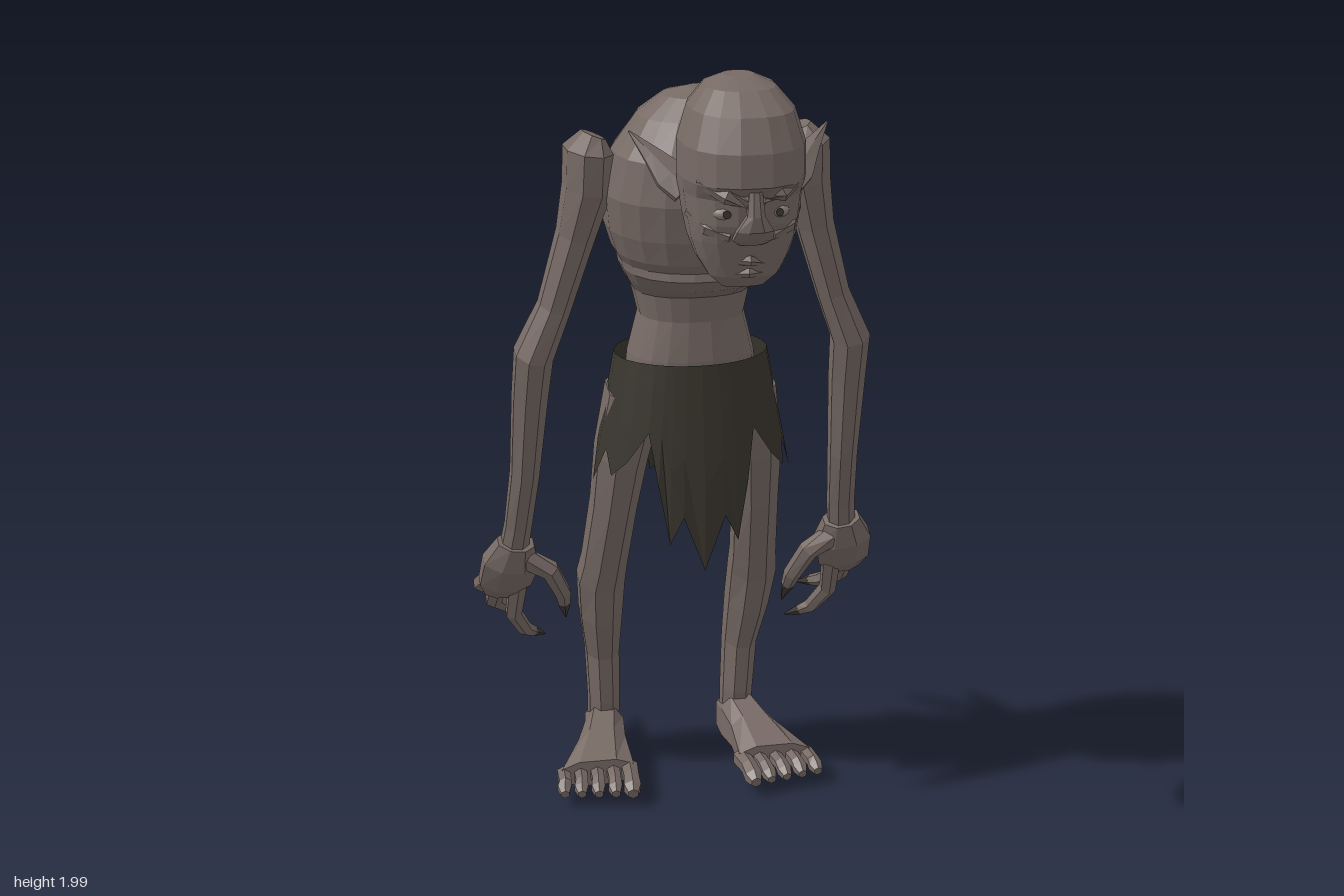
import * as THREE from 'three';

const skin = new THREE.MeshStandardMaterial({ color: 0x776a65 });
skin.name = 'skin';
const cloth = new THREE.MeshStandardMaterial({ color: 0x39352e, side: THREE.DoubleSide });
cloth.name = 'ragged cloth';
const claw = new THREE.MeshStandardMaterial({ color: 0x3f3835 });
claw.name = 'claw';
const eyeMat = new THREE.MeshStandardMaterial({ color: 0x8a8279 });
eyeMat.name = 'eye';

const V = (x, y, z) => new THREE.Vector3(x, y, z);

// Unshared triangles give faceted normals
function facets(triangles) {
  const g = new THREE.BufferGeometry().setFromPoints(triangles);
  g.computeVertexNormals();
  return g;
}

// Closed loft through [x, y, z, radiusA, radiusB]; exp < 1 makes squarer sections
function loft(pts, sides = 8, dir = null, exp = 1) {
  const centres = pts.map(p => V(p[0], p[1], p[2]));
  const bend = v => Math.sign(v) * Math.abs(v) ** exp;
  const rings = pts.map((p, i) => {
    const t = dir ? dir.clone() : centres[Math.min(i + 1, pts.length - 1)].clone()
      .sub(centres[Math.max(i - 1, 0)]).normalize();
    const ref = Math.abs(t.x) > 0.9 ? V(0, 1, 0) : V(1, 0, 0);
    const u = ref.addScaledVector(t, -ref.dot(t)).normalize();
    const v = t.clone().cross(u);
    return Array.from({ length: sides }, (_, j) => {
      const a = (j + 0.5) / sides * Math.PI * 2;
      return centres[i].clone().addScaledVector(u, p[3] * bend(Math.cos(a)))
        .addScaledVector(v, (p[4] ?? p[3]) * bend(Math.sin(a)));
    });
  });
  const tri = [], last = rings.length - 1;
  for (let j = 0; j < sides; j++) {
    const k = (j + 1) % sides;
    for (let i = 0; i < last; i++) {
      const a = rings[i][j], b = rings[i][k], c = rings[i + 1][k], d = rings[i + 1][j];
      tri.push(a, b, c, a, c, d);
    }
    tri.push(centres[0], rings[0][k], rings[0][j]);
    tri.push(centres[last], rings[last][j], rings[last][k]);
  }
  return facets(tri);
}

function add(parent, name, geometry, material = skin) {
  const m = new THREE.Mesh(geometry, material);
  m.name = name;
  parent.add(m);
  return m;
}

// Skirt with a torn hem: [degrees from front, hem height], mirrored
function skirtGeometry() {
  const half = [[0, .70], [12, .84], [20, .77], [27, .92], [36, 1.05], [50, .97], [62, .93], [72, .99],
    [85, .90], [100, 1.0], [115, .92], [128, 1.0], [142, .93], [154, 1.0], [163, .85], [170, .87], [180, .77]];
  const hem = [...half, ...half.slice(1, -1).reverse().map(([d, y]) => [360 - d, y])];
  const rows = [0, 0.25, 0.6, 1];
  const cols = hem.map(([deg, y]) => rows.map(f => {
    const h = 1.22 + (y - 1.22) * f, t = Math.min(1, (1.22 - h) / 0.32);
    const a = deg * Math.PI / 180, flare = Math.cos(a) > 0 ? 0.032 : 0.014;
    return V(Math.sin(a) * (0.19 + 0.06 * t), h, -0.12 + Math.cos(a) * (0.15 + flare * t));
  }));
  const tri = [];
  cols.forEach((c, i) => {
    const n = cols[(i + 1) % cols.length];
    for (let r = 0; r < rows.length - 1; r++)
      tri.push(c[r], c[r + 1], n[r + 1], c[r], n[r + 1], n[r]);
  });
  return facets(tri);
}

// Finger with a dark pointed tip on its last segment
function finger(parent, name, path, r) {
  const n = path.length - 1;
  const body = path.slice(0, n).map((p, i) => [...p, r * (1 - 0.12 * i)]);
  const mid = path[n - 1].map((v, k) => v + (path[n][k] - v) * 0.4);
  add(parent, name, loft([...body, [...mid, r * 0.58]], 6));
  add(parent, name + 'Claw', loft([[...mid, r * 0.6], [...path[n], 0.002]], 6), claw);
}

export function createModel() {
  const model = new THREE.Group();
  model.name = 'hunchedCreature';
  const down = V(0, -1, 0), forward = V(0, 0, 1);

  // Horizontal slices [y, front z, back z, half width]
  const slices = list => list.map(([y, f, b, w]) => [0, y, (f + b) / 2, w, (f - b) / 2]);

  // Hunched torso with a stepped rib cage over a sunken belly
  add(model, 'torso', loft(slices([
    [1.90, .03, -.03, .03], [1.885, .08, -.08, .09], [1.84, .13, -.13, .15], [1.75, .175, -.2, .208],
    [1.65, .18, -.245, .23], [1.56, .16, -.268, .22], [1.5, .14, -.27, .2], [1.475, .118, -.27, .186],
    [1.455, .122, -.268, .182], [1.42, .08, -.265, .165], [1.385, .01, -.255, .145], [1.32, 0, -.24, .13],
    [1.22, .005, -.25, .155], [1.08, 0, -.25, .17], [1.02, -.04, -.2, .1]]), 20, down, 0.86));
  add(model, 'neck', loft([[0, 1.72, .08, .07, .1], [0, 1.71, .2, .06, .08], [.01, 1.73, .34, .06, .085]], 8, forward));

  // Head, set slightly to the left
  const head = new THREE.Group();
  head.name = 'head';
  head.position.x = .016;
  model.add(head);
  add(head, 'skull', loft(slices([
    [2.0, .37, .30, .035], [1.98, .44, .25, .08], [1.935, .505, .215, .118], [1.86, .535, .2, .141],
    [1.785, .538, .2, .142], [1.75, .508, .205, .138], [1.69, .5, .235, .13], [1.645, .483, .265, .122],
    [1.60, .465, .295, .106], [1.56, .45, .34, .082], [1.53, .42, .37, .05]]), 16, down, 0.84));
  add(head, 'nose', loft([[0, 1.775, .52, .016, .012], [0, 1.72, .522, .022, .02], [0, 1.685, .515, .045, .024],
    [0, 1.66, .495, .05, .022], [0, 1.645, .48, .03, .012]], 8, down));
  add(head, 'upperLip', loft([[-.065, 1.59, .435, .008], [0, 1.605, .468, .014], [.065, 1.59, .435, .008]], 6));
  add(head, 'lowerLip', loft([[-.055, 1.568, .43, .008], [0, 1.572, .453, .013], [.055, 1.568, .43, .008]], 6));

  for (const s of [1, -1]) {
    const side = s > 0 ? 'left' : 'right';
    const m = list => list.map(([x, ...rest]) => [x * s, ...rest]);

    // Face details and ears
    add(head, side + 'Brow', loft(m([[.008, 1.748, .51, .018], [.06, 1.765, .507, .02], [.115, 1.792, .462, .014]]), 6));
    add(head, side + 'Cheek', loft(m([[.045, 1.665, .478, .014], [.09, 1.68, .45, .02], [.124, 1.705, .39, .012]]), 6));
    const eye = add(head, side + 'Eye', new THREE.SphereGeometry(.025, 10, 8), eyeMat);
    eye.scale.set(1.15, .7, 1);
    eye.position.set(.06 * s, 1.72, .474);
    const pupil = add(head, side + 'Pupil', new THREE.CylinderGeometry(.009, .009, .004, 8), claw);
    pupil.rotation.x = Math.PI / 2;
    pupil.position.set(.06 * s, 1.72, .4985);
    add(head, side + 'Ear', loft(m([[.115, 1.735, .32, .042, .018], [.148, 1.765, .298, .044, .015],
      [.185, 1.808, .27, .024, .009], [.231, 1.857, .239, .002, .002]]), 6));

    // Arm
    const arm = new THREE.Group();
    arm.name = side + 'Arm';
    model.add(arm);
    add(arm, 'armLimb', loft(m([[.248, 1.785, -.045, .03, .055], [.262, 1.75, -.042, .06, .1],
      [.265, 1.66, -.042, .06, .088], [.293, 1.54, -.055, .048, .062], [.345, 1.36, -.07, .042, .052],
      [.395, 1.24, -.082, .05, .06], [.4, 1.12, -.125, .046, .055], [.408, .9, -.185, .038, .047],
      [.42, .74, -.24, .036, .037], [.43, .66, -.265, .038, .036]]), 8));
    add(arm, 'palm', loft(m([[.425, .69, -.25, .05, .04], [.435, .63, -.275, .078, .05],
      [.447, .56, -.315, .072, .04], [.45, .52, -.345, .05, .024]]), 8));
    finger(arm, 'outerFinger', m([[.48, .58, -.31], [.5, .53, -.38], [.492, .51, -.445], [.465, .5, -.515]]), .026);
    finger(arm, 'middleFinger', m([[.46, .55, -.33], [.465, .47, -.41], [.43, .43, -.47], [.375, .4, -.54]]), .026);
    finger(arm, 'innerFinger', m([[.415, .55, -.31], [.42, .45, -.36], [.385, .385, -.4], [.325, .345, -.45]]), .026);
    finger(arm, 'thumb', m([[.4, .64, -.255], [.338, .605, -.25], [.302, .53, -.28], [.288, .44, -.33]]), .03);

    // Leg and foot
    const leg = new THREE.Group();
    leg.name = side + 'Leg';
    model.add(leg);
    add(leg, 'legLimb', loft(m([[.14, 1.12, -.12, .075, .095], [.17, .95, -.155, .068, .092],
      [.182, .8, -.2, .06, .08], [.195, .62, -.27, .06, .07], [.2, .56, -.3, .064, .07],
      [.195, .45, -.342, .058, .074], [.185, .32, -.385, .046, .062], [.18, .18, -.395, .043, .058],
      [.18, .08, -.41, .042, .05]]), 8));
    add(leg, 'foot', loft(m([[.18, .055, -.5, .034, .045], [.18, .07, -.45, .045, .066], [.185, .085, -.36, .055, .078],
      [.205, .08, -.28, .066, .06], [.235, .062, -.17, .1, .036]]), 8, forward, 0.75));
    for (let i = 0; i < 5; i++) {
      const x = .15 + i * .043, end = -.062 - i * .008, r = i ? .02 : .025;
      add(leg, 'toe' + (i + 1), loft(m([[x, .06, -.19, r], [x + .006, .062, -.125, r * .9],
        [x + .01, .052, end - .025, r], [x + .012, .046, end, r * .6]]), 6));
    }
  }

  add(model, 'raggedSkirt', skirtGeometry(), cloth);
  return model;
}
